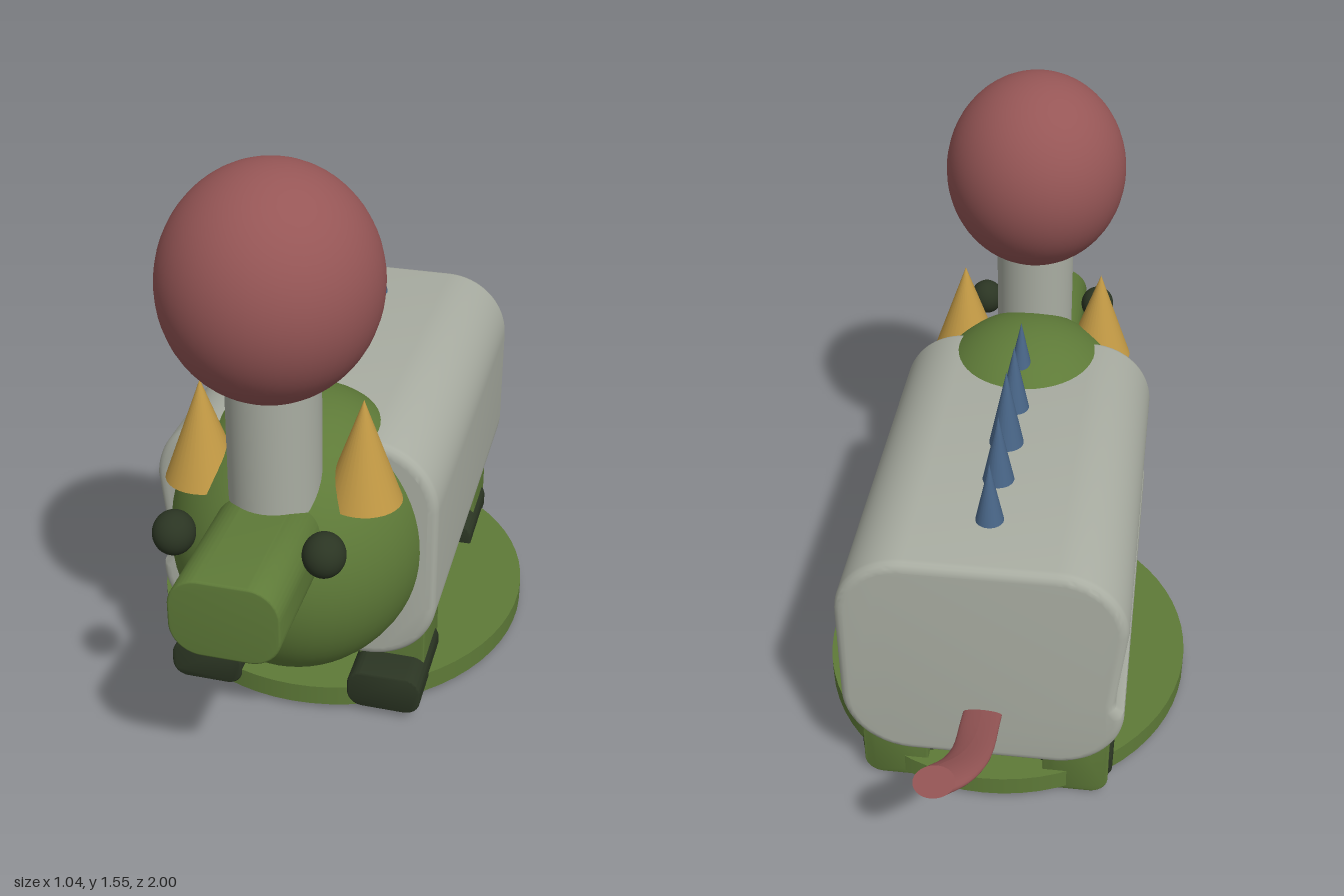
import * as THREE from 'three';
import { toCreasedNormals } from 'three/addons/utils/BufferGeometryUtils.js';

const mat = (name, color) => {
  const m = new THREE.MeshStandardMaterial({ color });
  m.name = name;
  return m;
};

export function createModel() {
  const model = new THREE.Group();
  model.name = 'wheelessToyBeast';

  const green = mat('leafGreen', 0x5e7a38);
  const grey = mat('stoneGrey', 0xa9ada2);
  const red = mat('dustyRed', 0x965656);
  const gold = mat('hornGold', 0xc39a45);
  const blue = mat('spikeBlue', 0x496688);
  const dark = mat('darkMoss', 0x2b3523);

  const add = (name, geometry, material, x = 0, y = 0, z = 0) => {
    const mesh = new THREE.Mesh(geometry, material);
    mesh.name = name;
    mesh.position.set(x, y, z);
    model.add(mesh);
    return mesh;
  };
  const ellipsoid = (name, material, [x, y, z], [rx, ry, rz]) =>
    add(name, new THREE.SphereGeometry(1, 48, 32), material, x, y, z).scale.set(rx, ry, rz);

  // Extrudes a profile from z0 to z1 with rounded end edges of size b
  const prism = (shape, z0, z1, b) => {
    const g = new THREE.ExtrudeGeometry(shape, {
      depth: z1 - z0 - 2 * b, bevelEnabled: b > 0, bevelSize: b, bevelThickness: b,
      bevelOffset: -b, bevelSegments: 4, curveSegments: 10,
    });
    g.translate(0, 0, z0 + b);
    return toCreasedNormals(g, 0.6);
  };
  const roundedRect = (x0, x1, y0, y1, r) => {
    const s = new THREE.Shape();
    s.absarc(x1 - r, y0 + r, r, -Math.PI / 2, 0);
    s.absarc(x1 - r, y1 - r, r, 0, Math.PI / 2);
    s.absarc(x0 + r, y1 - r, r, Math.PI / 2, Math.PI);
    s.absarc(x0 + r, y0 + r, r, Math.PI, Math.PI * 1.5);
    s.closePath();
    return s;
  };

  // Body: rounded block with a crease low on one flank
  const k = Math.PI / 2;
  const profile = new THREE.Shape();
  profile.absarc(0.185, 0.35, 0.18, -k, 0);
  profile.absarc(0.185, 0.63, 0.18, 0, k);
  profile.absarc(-0.185, 0.63, 0.18, k, 2 * k);
  profile.lineTo(-0.34, 0.4);
  profile.lineTo(-0.344, 0.385);
  profile.lineTo(-0.363, 0.365);
  profile.absarc(-0.185, 0.35, 0.18, 2 * k, 3 * k);
  profile.closePath();
  add('body', prism(profile, -0.61, 0.455, 0.025), grey);

  // Head, snout, neck and ball
  ellipsoid('head', green, [0, 0.512, 0.388], [0.33, 0.373, 0.357]);
  add('snout', prism(roundedRect(-0.13, 0.13, 0.54, 0.74, 0.075), 0.5, 1, 0.006), green);
  add('neck', new THREE.CylinderGeometry(0.112, 0.112, 0.5, 40), grey, 0, 0.85, 0.603);
  ellipsoid('ball', red, [0, 1.28, 0.603], [0.255, 0.275, 0.27]);

  for (const side of [-1, 1]) {
    ellipsoid('eye', dark, [side * 0.177, 0.727, 0.815], [0.05, 0.053, 0.052]);
    const horn = add('horn', new THREE.ConeGeometry(0.095, 0.265, 32), gold, side * 0.2, 0.847, 0.545);
    horn.scale.z = 0.95;
    const barb = add('cheekBarb', new THREE.ConeGeometry(0.022, 0.06, 16), blue, side * 0.132, 0.618, 0.69);
    barb.rotation.z = -side * k;

    // Legs and feet
    for (const z of [0.295, -0.45]) {
      const [x0, x1] = side > 0 ? [0.155, 0.33] : [-0.33, -0.155];
      add('leg', prism(roundedRect(x0, x1, 0.005, 0.36, 0.05), z - 0.095, z + 0.095, 0.004), green);
      add('foot', prism(roundedRect(x0 - 0.01, x1 + 0.01, 0.027, 0.137, 0.042), z - 0.065, z + 0.193, 0.006), dark);
    }
  }

  // Row of back spikes: z, tip height, radius
  for (const [z, tip, r] of [
    [0.25, 0.98, 0.038], [0.086, 1.003, 0.043], [-0.08, 1.03, 0.048], [-0.243, 1.003, 0.043], [-0.41, 0.98, 0.038],
  ]) {
    add('backSpike', new THREE.ConeGeometry(r, tip - 0.8, 24), blue, 0, (tip + 0.8) / 2, z);
  }

  // Tail: a level disc swept along a rising, bending path
  const path = new THREE.CatmullRomCurve3([
    new THREE.Vector3(-0.005, 0.31, -0.5),
    new THREE.Vector3(-0.005, 0.345, -0.65),
    new THREE.Vector3(-0.003, 0.385, -0.79),
    new THREE.Vector3(0.02, 0.42, -0.88),
    new THREE.Vector3(0.06, 0.455, -0.95),
  ]);
  const tail = new THREE.CylinderGeometry(0.05, 0.05, 1, 24, 16);
  const pos = tail.attributes.position;
  for (let i = 0; i < pos.count; i++) {
    const p = path.getPoint(Math.min(1, Math.max(0, pos.getY(i) + 0.5)));
    pos.setXYZ(i, pos.getX(i) + p.x, p.y, pos.getZ(i) + p.z);
  }
  tail.computeVertexNormals();
  add('tail', tail, red);

  // Oval base plate
  add('basePlate', new THREE.CylinderGeometry(0.518, 0.518, 0.056, 64), green, 0, 0.047, -0.047).scale.z = 1.063;

  return model;
}
